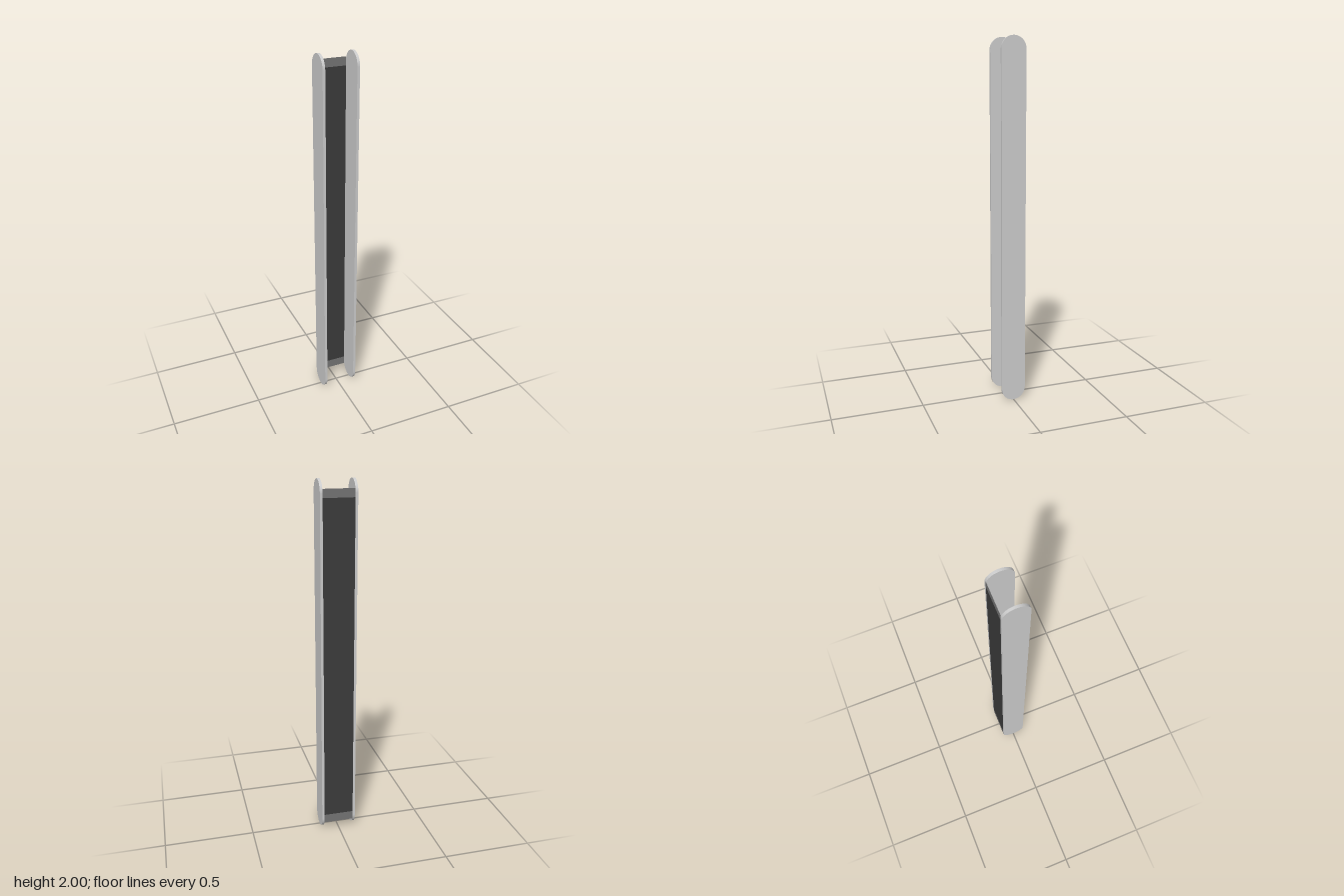
import * as THREE from 'three';

const HALF_W = 0.099, PLATE_T = 0.014, R = 0.068;

// Upright stadium outline, extruded along the plate's thickness
function sidePlateGeometry() {
  const s = new THREE.Shape();
  s.absarc(0, 2 - R, R, 0, Math.PI, false);
  s.absarc(0, R, R, Math.PI, Math.PI * 2, false);
  s.closePath();
  const g = new THREE.ExtrudeGeometry(s, { depth: PLATE_T, bevelEnabled: false, curveSegments: 32 });
  g.translate(0, 0, -PLATE_T / 2);
  g.rotateY(Math.PI / 2);
  return g;
}

export function createModel() {
  const model = new THREE.Group();
  model.name = 'channelPanel';
  const grey = new THREE.MeshStandardMaterial({ color: 0xcccccc });
  const dark = new THREE.MeshStandardMaterial({ color: 0x3b3b3b });
  const band = new THREE.MeshStandardMaterial({ color: 0x737373 });

  // Rounded side plates
  const plate = sidePlateGeometry();
  for (const [name, side] of [['leftPlate', 1], ['rightPlate', -1]]) {
    const m = new THREE.Mesh(plate, grey);
    m.name = name;
    m.position.x = side * (HALF_W - PLATE_T / 2);
    model.add(m);
  }

  // Thin back sheet between the plates: dark centre with a lighter band at each end
  const innerW = 2 * (HALF_W - PLATE_T);
  const strips = [
    ['lowerBand', 0.045, 0.095, band],
    ['backSheet', 0.095, 1.91, dark],
    ['upperBand', 1.91, 1.955, band],
  ];
  for (const [name, y0, y1, material] of strips) {
    const m = new THREE.Mesh(new THREE.BoxGeometry(innerW, y1 - y0, 0.002), material);
    m.name = name;
    m.position.set(0, (y0 + y1) / 2, -R + 0.001);
    model.add(m);
  }
  return model;
}
